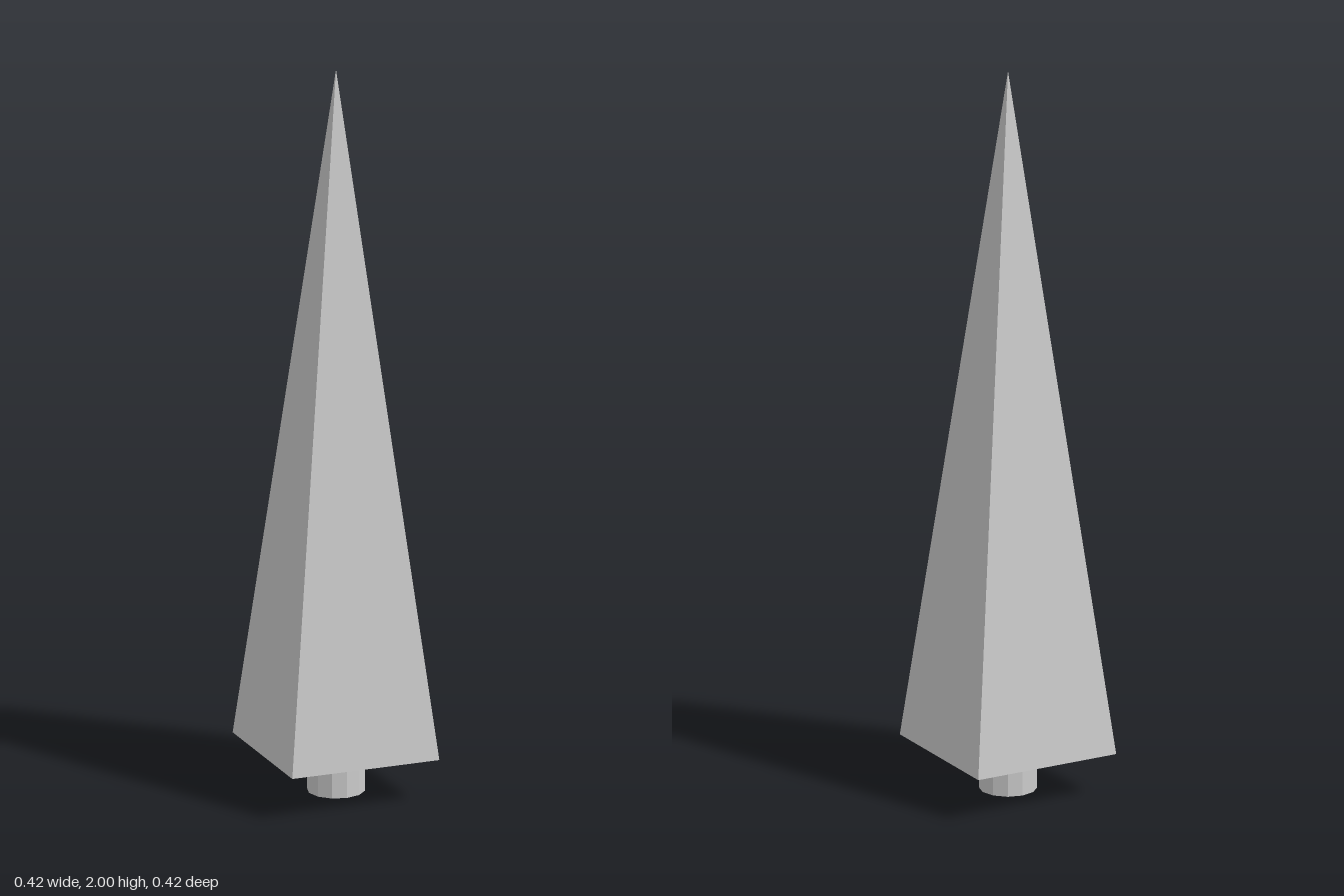
import * as THREE from 'three';

export function createModel() {
  const model = new THREE.Group();
  const baseY = 0.12, topY = 2, halfWidth = 0.209, trunkRadius = 0.077;

  const addPart = (name, geometry, y, side) => {
    const material = new THREE.MeshStandardMaterial({ color: 0xcccccc, flatShading: true, side });
    const mesh = new THREE.Mesh(geometry, material);
    mesh.name = name;
    mesh.position.y = y;
    model.add(mesh);
  };

  // Tall square pyramid of foliage, its flat sides facing the axes
  const foliage = new THREE.ConeGeometry(halfWidth * Math.SQRT2, topY - baseY, 4);
  foliage.rotateY(Math.PI / 4);
  addPart('foliage', foliage, (topY + baseY) / 2, THREE.FrontSide);

  // Short hollow trunk, open at the bottom
  const trunk = new THREE.CylinderGeometry(trunkRadius, trunkRadius, baseY, 12, 1, true);
  addPart('trunk', trunk, baseY / 2, THREE.DoubleSide);

  return model;
}
